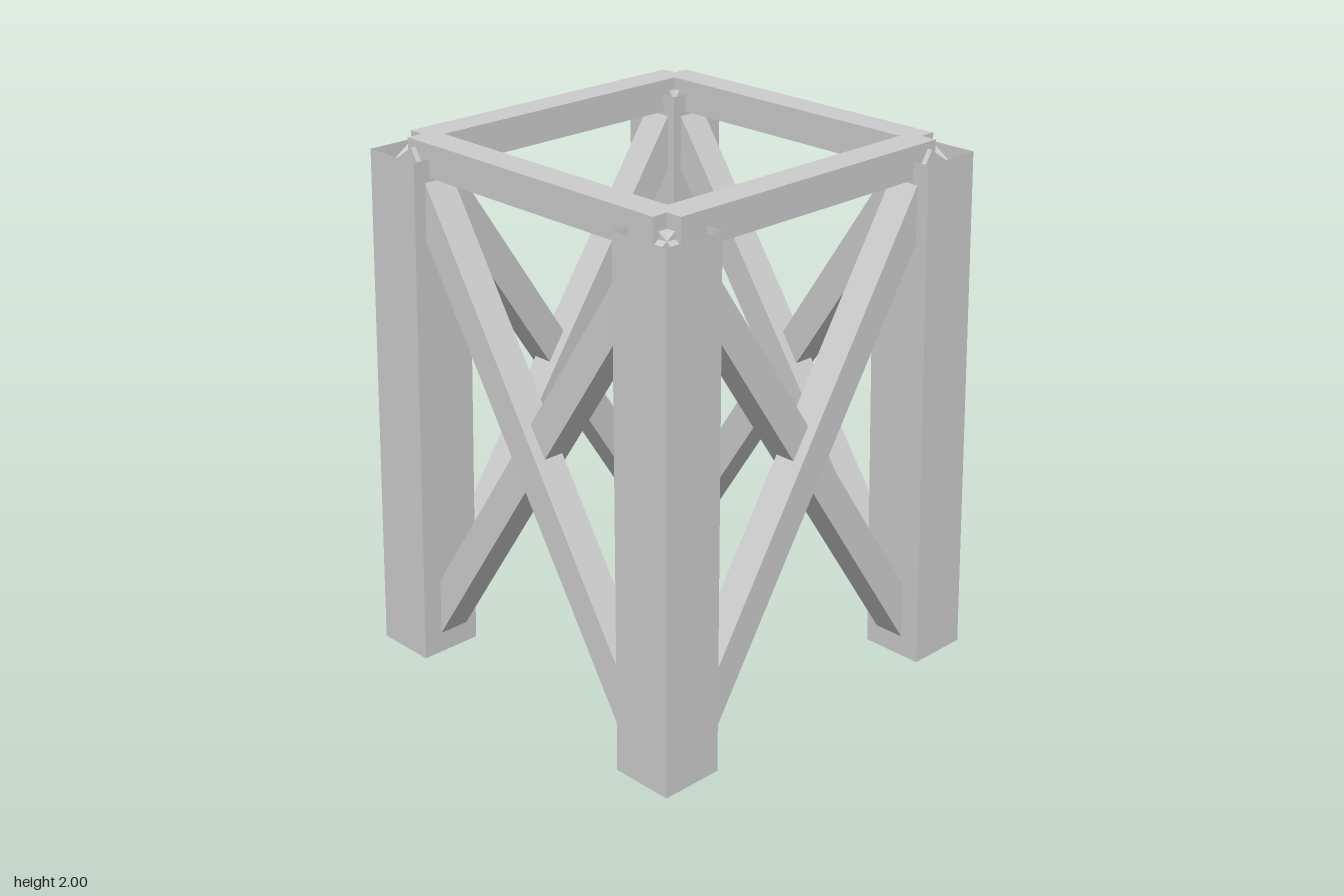
import * as THREE from 'three';

const material = new THREE.MeshStandardMaterial({ color: 0xcccccc, flatShading: true });
const openMaterial = new THREE.MeshStandardMaterial({ color: 0xcccccc, flatShading: true, side: THREE.DoubleSide });

const BAR = 0.118; // square section of rails and braces

function add(parent, name, geometry, mat = material) {
  const mesh = new THREE.Mesh(geometry, mat);
  mesh.name = name;
  parent.add(mesh);
  return mesh;
}

// Hollow square leg, sheared so that it leans towards the middle
function legGeometry(sx, sz) {
  const y0 = 0.038, y1 = 1.946, low = 0.643, high = 0.611, width = 0.24;
  const geo = new THREE.CylinderGeometry(width / Math.SQRT2, width / Math.SQRT2, y1 - y0, 4, 1, true);
  geo.rotateY(Math.PI / 4);
  geo.translate(0, (y0 + y1) / 2, 0);
  const p = geo.attributes.position;
  for (let i = 0; i < p.count; i++) {
    const t = (p.getY(i) - y0) / (y1 - y0);
    const offset = THREE.MathUtils.lerp(low, high, t);
    p.setX(i, p.getX(i) + sx * offset);
    p.setZ(i, p.getZ(i) + sz * offset);
  }
  geo.computeVertexNormals();
  return geo;
}

// Square bar between two points, its flat side facing +z
function braceGeometry(from, to) {
  const along = to.clone().sub(from);
  const geo = new THREE.BoxGeometry(BAR, along.length(), BAR);
  const y = along.normalize();
  const x = new THREE.Vector3().crossVectors(y, new THREE.Vector3(0, 0, 1)).normalize();
  const z = new THREE.Vector3().crossVectors(x, y);
  geo.applyMatrix4(new THREE.Matrix4().makeBasis(x, y, z));
  const mid = from.clone().add(to).multiplyScalar(0.5);
  geo.translate(mid.x, mid.y, mid.z);
  return geo;
}

// One side, facing +z: top rail and two crossing braces, one slightly further out.
// dir is the direction in which the outer brace rises.
function buildSide(name, dir) {
  const side = new THREE.Group();
  side.name = name;
  const rail = add(side, 'topRail', new THREE.BoxGeometry(1.21, 0.12, 0.115));
  rail.position.set(0, 1.94, 0.608);
  const brace = (s, zLow, zHigh) => braceGeometry(
    new THREE.Vector3(-s * 0.647, 0.034, zLow),
    new THREE.Vector3(s * 0.613, 1.942, zHigh));
  add(side, 'outerBrace', brace(dir, 0.665, 0.625));
  add(side, 'innerBrace', brace(-dir, 0.63, 0.583));
  return side;
}

export function createModel() {
  const model = new THREE.Group();
  model.name = 'trestleTower';

  // Four legs
  for (const [sx, end] of [[1, 'Left'], [-1, 'Right']])
    for (const [sz, start] of [[1, 'front'], [-1, 'back']])
      add(model, `${start}${end}Leg`, legGeometry(sx, sz), openMaterial);

  // Four braced sides, the outer braces meeting in pairs at opposite corners
  ['frontSide', 'leftSide', 'backSide', 'rightSide'].forEach((name, i) => {
    const side = buildSide(name, i % 2 === 0 ? 1 : -1);
    side.rotation.y = i * Math.PI / 2;
    model.add(side);
  });

  return model;
}
